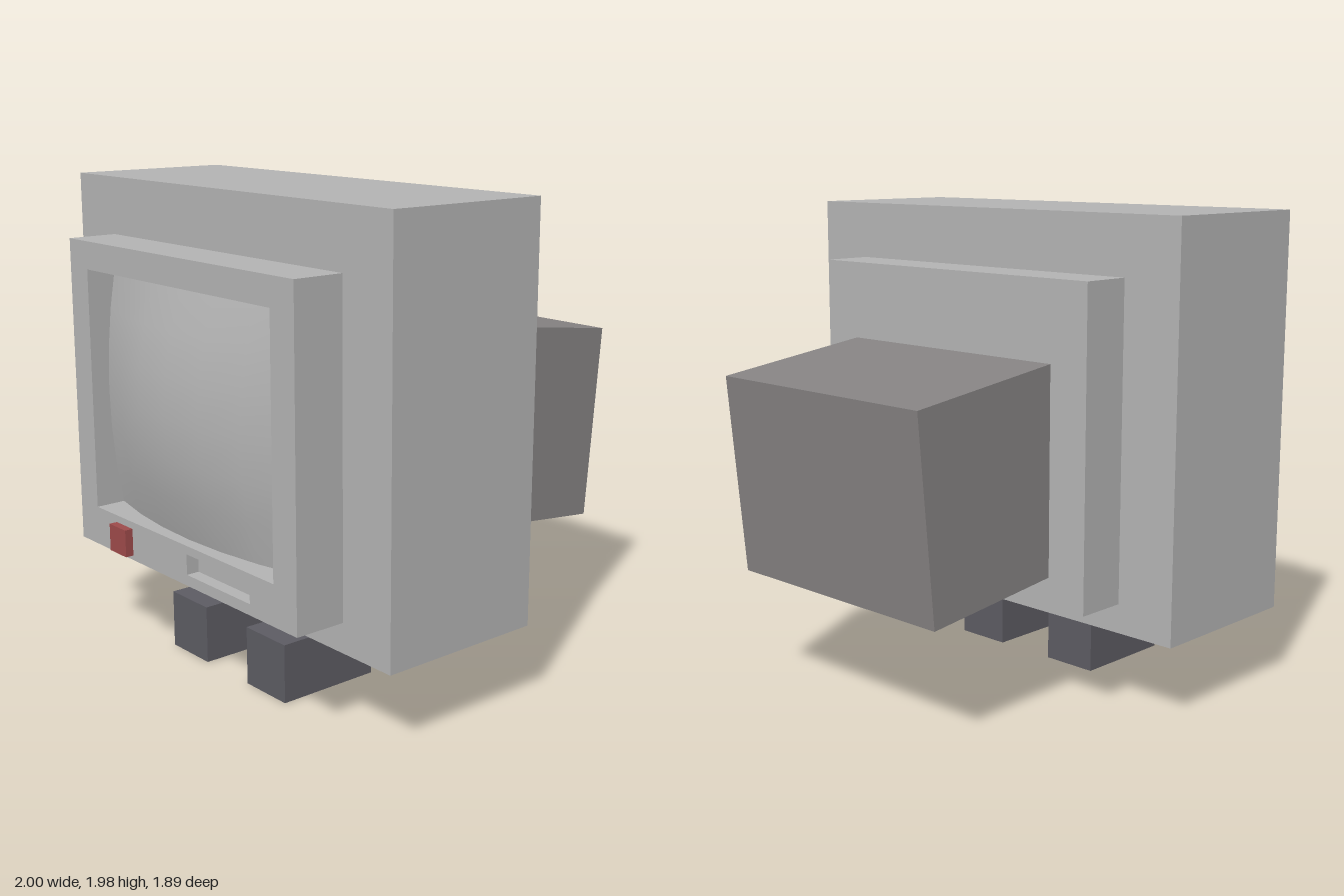
import * as THREE from 'three';

const mat = (name, color) => {
  const m = new THREE.MeshStandardMaterial({ color });
  m.name = name;
  return m;
};

export function createModel() {
  const model = new THREE.Group();
  model.name = 'televisionOnFeet';
  const grey = mat('casing grey', 0xb2b2b2);
  const darkGrey = mat('tube grey', 0x858282);
  const charcoal = mat('foot charcoal', 0x5c5b62);
  const red = mat('button red', 0x9c4a4a);

  const add = (name, geometry, material) => {
    const mesh = new THREE.Mesh(geometry, material);
    mesh.name = name;
    model.add(mesh);
    return mesh;
  };
  // Box given by its limits on each axis
  const box = (name, [x0, x1], [y0, y1], [z0, z1], material) => {
    const g = new THREE.BoxGeometry(x1 - x0, y1 - y0, z1 - z0);
    g.translate((x0 + x1) / 2, (y0 + y1) / 2, (z0 + z1) / 2);
    return add(name, g, material);
  };
  const rect = (Type, x0, x1, y0, y1) => new Type([
    [x0, y0], [x1, y0], [x1, y1], [x0, y1],
  ].map(([x, y]) => new THREE.Vector2(x, y)));
  // Side profile of [z, y] points, extruded across x
  const sideProfile = (points, x0, x1) => {
    const shape = new THREE.Shape(points.map(([z, y]) => new THREE.Vector2(-z, y)));
    const g = new THREE.ExtrudeGeometry(shape, { depth: x1 - x0, bevelEnabled: false });
    return g.rotateY(Math.PI / 2).translate(x0, 0, 0);
  };

  // Casing
  box('mainCasing', [-1, 1], [0.325, 1.975], [-0.035, 0.68], grey);
  box('backPanel', [-0.74, 0.74], [0.445, 1.735], [-0.25, -0.035], grey);

  // Front frame with openings for the screen and the slot
  const frame = rect(THREE.Shape, -0.74, 0.74, 0.445, 1.735);
  frame.holes.push(rect(THREE.Path, -0.61, 0.605, 0.61, 1.62));
  frame.holes.push(rect(THREE.Path, 0.05, 0.46, 0.49, 0.575));
  const frameGeometry = new THREE.ExtrudeGeometry(frame, { depth: 0.215, bevelEnabled: false });
  add('frontFrame', frameGeometry.translate(0, 0, 0.68), grey);
  box('slotFloor', [0.05, 0.46], [0.49, 0.575], [0.7, 0.84], grey);

  // Bulging screen, recessed at its corners
  const screen = new THREE.PlaneGeometry(1.215, 1.01, 6, 6);
  const p = screen.attributes.position;
  for (let i = 0; i < p.count; i++) {
    const u = (p.getX(i) / 0.6075) ** 2;
    const v = (p.getY(i) / 0.505) ** 2;
    p.setZ(i, 0.945 - 0.13 * u - 0.1 * v + 0.05 * u * v);
  }
  screen.computeVertexNormals();
  add('screen', screen.translate(-0.0025, 1.115, 0), grey);

  box('button', [-0.46, -0.34], [0.465, 0.58], [0.88, 0.93], red);

  // Tilted tube housing at the back
  add('tubeHousing', sideProfile(
    [[-0.2, 1.416], [-0.2, 0.569], [-0.87, 0.495], [-0.945, 1.32]], -0.56, 0.56), darkGrey);

  // Feet with short ankles that narrow towards the casing
  for (const [side, x0, x1] of [['right', -0.38, -0.135], ['left', 0.143, 0.388]]) {
    box(side + 'Foot', [x0, x1], [0, 0.243], [0.23, 0.68], charcoal);
    const ankle = new THREE.BoxGeometry(x1 - x0, 0.087, 0.205);
    const a = ankle.attributes.position;
    for (let i = 0; i < a.count; i++) {
      if (a.getY(i) > 0) a.setXYZ(i, a.getX(i) * 0.92, a.getY(i), a.getZ(i) * 0.96);
    }
    ankle.computeVertexNormals();
    add(side + 'Ankle', ankle.translate((x0 + x1) / 2, 0.2845, 0.3325), charcoal);
  }
  return model;
}
